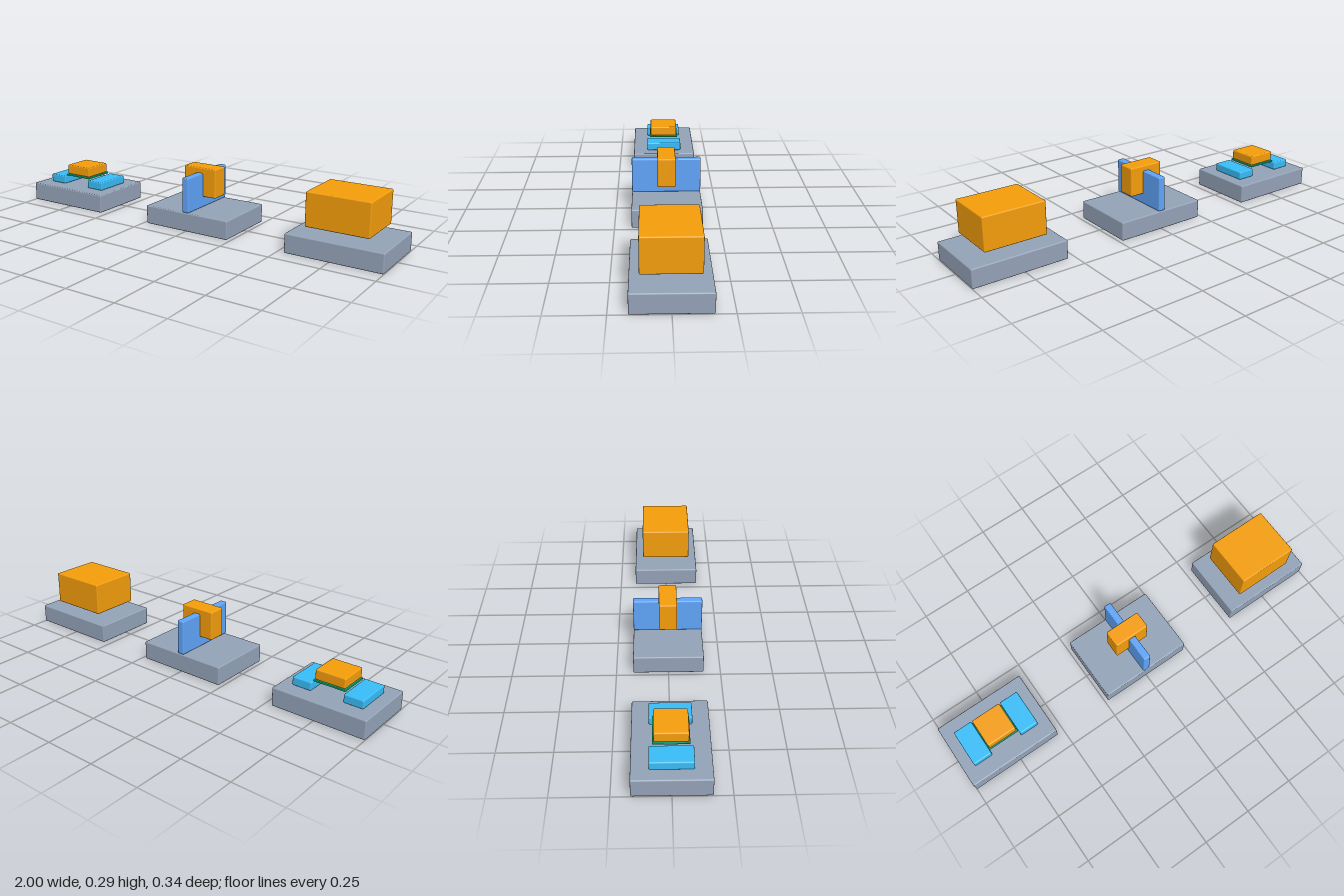
import * as THREE from 'three';
import { RoundedBoxGeometry } from 'three/addons/geometries/RoundedBoxGeometry.js';

const paint = (color) => new THREE.MeshStandardMaterial({ color });

export function createModel() {
  const model = new THREE.Group();
  const slate = paint(0x94a3b8);
  const amber = paint(0xf59e0b);
  const blue = paint(0x60a5fa);
  const cyan = paint(0x38bdf8);
  const green = paint(0x10b981);

  // Softly bevelled block, standing at height y0, centred on its unit in z
  function block(parent, name, material, [w, h, d], x, y0) {
    const radius = Math.min(0.006, Math.min(w, h, d) * 0.3);
    const mesh = new THREE.Mesh(new RoundedBoxGeometry(w, h, d, 2, radius), material);
    mesh.name = name;
    mesh.position.set(x, y0 + h / 2, 0);
    parent.add(mesh);
  }

  // Three units side by side, each on its own base slab
  const [flatUnit, finUnit, wrappedUnit] = ['flatUnit', 'finUnit', 'wrappedUnit'].map((name, i) => {
    const unit = new THREE.Group();
    unit.name = name;
    unit.position.x = (i - 1) * 0.767;
    block(unit, 'base', slate, [0.467, 0.093, 0.337], 0, 0);
    model.add(unit);
    return unit;
  });

  // Flat unit: two pads with a thin film and a block bridging between them
  for (const side of [-1, 1]) {
    block(flatUnit, side < 0 ? 'rightPad' : 'leftPad', cyan, [0.097, 0.042, 0.187], side * 0.129, 0.093);
  }
  block(flatUnit, 'film', green, [0.16, 0.009, 0.157], 0, 0.137);
  block(flatUnit, 'flatBlock', amber, [0.15, 0.05, 0.147], 0, 0.146);

  // Fin unit: upright plate passing through a block
  block(finUnit, 'fin', blue, [0.036, 0.172, 0.337], 0, 0.094);
  block(finUnit, 'finBlock', amber, [0.18, 0.145, 0.087], 0, 0.147);

  // Wrapped unit: large block held above its base
  block(wrappedUnit, 'largeBlock', amber, [0.305, 0.163, 0.253], -0.004, 0.126);

  return model;
}
